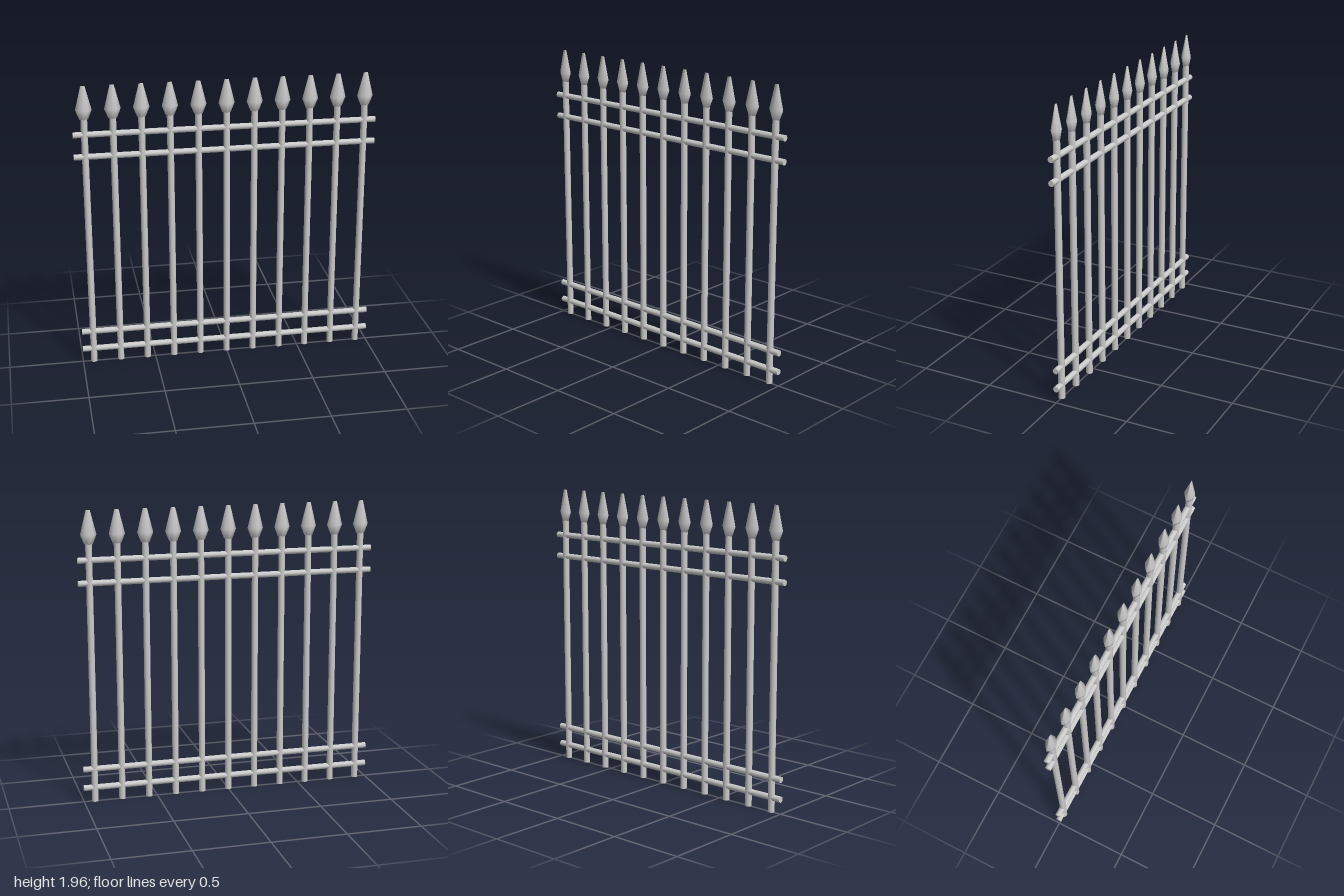
import * as THREE from 'three';

const material = new THREE.MeshStandardMaterial({ color: 0xcccccc });

// Spearhead lofted through lens-shaped rings: [y, half width x, half depth z]
function spearGeometry() {
  const rings = [[1.737, 0, 0], [1.737, 0.028, 0.024], [1.8, 0.053, 0.037], [1.957, 0.014, 0.003], [1.957, 0, 0]];
  const n = 8, pos = [], idx = [];
  for (const [y, w, d] of rings) {
    for (let i = 0; i < n; i++) {
      const a = (i / n) * Math.PI * 2;
      const k = i % 2 ? 0.8 : 1; // pull the diagonals in towards a diamond
      pos.push(Math.cos(a) * w * k, y, Math.sin(a) * d * k);
    }
  }
  for (let r = 0; r < rings.length - 1; r++) {
    for (let i = 0; i < n; i++) {
      const a = r * n + i, b = r * n + (i + 1) % n;
      if (r > 0) idx.push(a, a + n, b);
      if (r < rings.length - 2) idx.push(b, a + n, b + n);
      if (r === 0) idx.push(a, a + n, b + n);
    }
  }
  const geo = new THREE.BufferGeometry();
  geo.setAttribute('position', new THREE.Float32BufferAttribute(pos, 3));
  geo.setIndex(idx);
  geo.computeVertexNormals();
  return geo;
}

export function createModel() {
  const fence = new THREE.Group();
  fence.name = 'fence';
  const add = (name, geo, x, y) => {
    const mesh = new THREE.Mesh(geo, material);
    mesh.name = name;
    mesh.position.set(x, y, 0);
    fence.add(mesh);
  };

  // Upright bars, each topped with a spearhead
  const barHeight = 1.74;
  const bar = new THREE.CylinderGeometry(0.022, 0.022, barHeight, 12);
  const spear = spearGeometry();
  for (let i = -5; i <= 5; i++) {
    add('bar', bar, i * 0.185, barHeight / 2);
    add('spearhead', spear, i * 0.185, 0);
  }

  // Horizontal rails, two high and two low
  const rail = new THREE.CylinderGeometry(0.02, 0.02, 2, 12).rotateZ(Math.PI / 2);
  for (const y of [0.096, 0.226, 1.484, 1.634]) add('rail', rail, 0, y);

  return fence;
}
